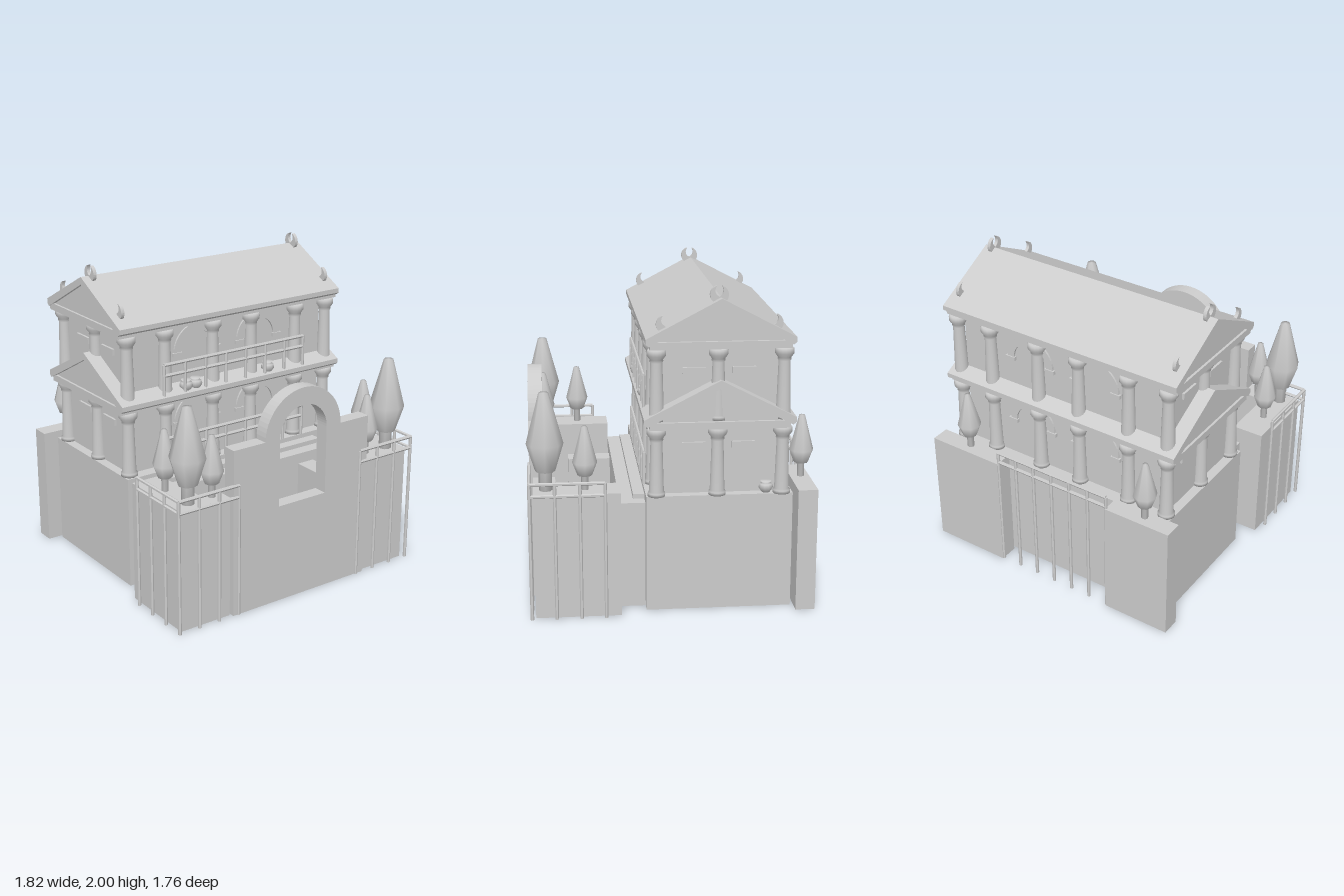
import * as THREE from 'three';

const mat = new THREE.MeshStandardMaterial({ color: 0xcccccc, side: THREE.DoubleSide });
const flat = new THREE.MeshStandardMaterial({ color: 0xcccccc, side: THREE.DoubleSide, flatShading: true });

export function createModel() {
  const root = new THREE.Group();

  const add = (name, geo, x = 0, y = 0, z = 0, m = mat) => {
    const mesh = new THREE.Mesh(geo, m);
    mesh.name = name;
    mesh.position.set(x, y, z);
    root.add(mesh);
    return mesh;
  };
  // Box given by its limits on each axis
  const box = (name, x0, x1, y0, y1, z0, z1) =>
    add(name, new THREE.BoxGeometry(x1 - x0, y1 - y0, z1 - z0), (x0 + x1) / 2, (y0 + y1) / 2, (z0 + z1) / 2);
  // The same box without its bottom face
  const openBox = (...args) => {
    const { geometry } = box(...args);
    const idx = Array.from(geometry.index.array);
    idx.splice(18, 6);
    geometry.setIndex(idx);
    geometry.clearGroups();
  };
  const lathe = (pts, n) => new THREE.LatheGeometry(pts.map(([r, y]) => new THREE.Vector2(r, y)), n);
  const shapeOf = pts => new THREE.Shape(pts.map(([a, b]) => new THREE.Vector2(a, b)));
  // Extrusion along x, centred; the shape's first axis runs along -z
  const alongX = (shape, length) => {
    const g = new THREE.ExtrudeGeometry(shape, { depth: length, bevelEnabled: false, curveSegments: 8 });
    g.translate(0, 0, -length / 2);
    return g.rotateY(Math.PI / 2);
  };
  const MID = -0.28; // z of the ridge

  // Podium, front terrace and step
  openBox('podium', -0.81, 0.81, 0, 0.73, -0.73, 0.16);
  openBox('terrace', -0.72, 0.74, 0, 0.67, 0.16, 0.315);
  box('terraceStep', -0.66, 0.66, 0.67, 0.7, 0.16, 0.23);

  // Forecourt
  box('path', -0.32, 0.35, 0, 0.05, 0.315, 0.77);
  box('courtBlock', -0.545, -0.42, 0, 0.6, 0.315, 0.6);
  box('courtBlock', 0.415, 0.54, 0, 0.6, 0.315, 0.6);
  for (const s of [-1, 1]) {
    const span = (a, b) => (s < 0 ? [-b, -a] : [a, b]);
    openBox('gardenBlock', ...span(0.67, 0.875), 0, 0.78, 0.315, 0.835);
    openBox('gardenBlockArm', ...span(0.52, 0.67), 0, 0.78, 0.7, 0.835);
  }
  box('rearBlock', -0.9, -0.45, 0, 0.77, -0.87, -0.75);
  box('rearBlock', 0.37, 0.89, 0, 0.77, -0.87, -0.75);

  // Arched gate wall
  const gate = shapeOf([[-0.51, 0], [0.525, 0], [0.525, 1.08], [0.3, 1.08]]);
  gate.absarc(0.01, 1.08, 0.29, 0, Math.PI, false);
  gate.lineTo(-0.51, 1.08);
  const opening = new THREE.Path();
  opening.moveTo(-0.17, 0.64);
  opening.lineTo(0.19, 0.64);
  opening.lineTo(0.19, 1.08);
  opening.absarc(0.01, 1.08, 0.18, 0, Math.PI, false);
  opening.closePath();
  gate.holes.push(opening);
  add('gateWall', new THREE.ExtrudeGeometry(gate, { depth: 0.09, bevelEnabled: false, curveSegments: 16 }), 0, 0, 0.768);

  // Hall of both storeys, with the columns half sunk into its walls
  box('hall', -0.75, 0.75, 0.73, 1.68, -0.645, 0.08);

  // Raised arches with imposts on the long walls
  const addArch = (r, x, y, z, turn) => {
    const s = new THREE.Shape();
    s.absarc(0, 0, r, 0, Math.PI, false);
    s.absarc(0, 0, r * 0.72, Math.PI, 0, true);
    const g = new THREE.ExtrudeGeometry(s, { depth: 0.012, bevelEnabled: false, curveSegments: 12 });
    add('wallArch', g, x, y, z).rotation.y = turn;
    for (const k of [-1, 1]) {
      const b = new THREE.BoxGeometry(r * 0.4, 0.025, 0.04);
      b.translate(k * r * 0.87, -0.0125, 0);
      add('impost', b, x, y, z).rotation.y = turn;
    }
  };
  for (const y of [1.0, 1.46]) {
    for (const x of [-0.24, 0.24]) {
      addArch(0.17, x, y, 0.08, 0);
      addArch(0.17, x, y, -0.645, Math.PI);
    }
    // String courses on the gable walls
    for (const s of [-1, 1])
      for (const z of [-0.13, -0.43])
        add('stringCourse', new THREE.BoxGeometry(0.03, 0.04, 0.14), s * 0.75, y + 0.03, z);
  }

  // Columns with base and capital
  const columnGeo = h => lathe([[0, 0], [0.053, 0], [0.053, 0.02], [0.045, 0.03], [0.036, h - 0.08],
    [0.042, h - 0.07], [0.04, h - 0.06], [0.058, h - 0.035], [0.058, h - 0.01], [0.05, h], [0, h]], 16);
  const colX = [-0.76, -0.485, -0.125, 0.175, 0.535, 0.787];
  for (const [y, h] of [[0.73, 0.42], [1.2, 0.43]]) {
    const geo = columnGeo(h);
    for (const x of colX) {
      add('column', geo, x, y, 0.097);
      add('column', geo, x, y, -0.663);
    }
    for (const x of [colX[0], colX[5]]) add('column', geo, x, y, -0.27);
  }

  // Entablature, pediment and gabled roof for each storey
  for (const [y, half] of [[1.15, 0.455], [1.635, 0.445]]) {
    box('entablature', -0.84, 0.845, y, y + 0.045, -0.7, 0.14);
    add('pediment', alongX(shapeOf([[-0.41, y + 0.04], [0.41, y + 0.04], [0, y + 0.26]]), 1.65), 0, 0, MID);
    add('roof', alongX(shapeOf([[-half, y + 0.035], [-half + 0.02, y + 0.02], [0, y + 0.25],
      [half - 0.02, y + 0.02], [half, y + 0.035], [half, y + 0.065], [0, y + 0.298], [-half, y + 0.065]]), 1.695), 0.002, 0, MID);
  }

  // Horn ornaments on ridge and eaves
  const horn = new THREE.Shape();
  horn.moveTo(0, 0);
  horn.quadraticCurveTo(0.055, 0, 0.055, 0.05);
  horn.quadraticCurveTo(0.05, 0.09, 0.015, 0.1);
  horn.quadraticCurveTo(0.04, 0.06, 0, 0.035);
  const hornGeo = alongX(horn, 0.022);
  for (const x of [-0.78, 0.79]) {
    for (const s of [-1, 1]) {
      add('ridgeHorn', hornGeo, x, 1.9, MID + 0.01).scale.z = s;
      add('eaveHorn', hornGeo, x, 1.73, MID + 0.005 + s * 0.32).scale.z = -s;
    }
  }

  // Straight rod between two points
  const rod = (name, a, b, r = 0.011) => {
    const p = new THREE.Vector3(...a), q = new THREE.Vector3(...b), d = q.clone().sub(p);
    const m = add(name, new THREE.CylinderGeometry(r, r, d.length(), 6), 0, 0, 0, flat);
    m.position.copy(p).add(q).multiplyScalar(0.5);
    m.quaternion.setFromUnitVectors(new THREE.Vector3(0, 1, 0), d.normalize());
  };
  // Fence along a ground line: two rails and n spaced posts
  const fence = (name, [x0, z0], [x1, z1], y0, y1, gap, n) => {
    for (const y of [y1, y1 - gap]) rod(name + 'Rail', [x0, y, z0], [x1, y, z1]);
    for (let i = 0; i < n; i++) {
      const t = i / (n - 1), x = x0 + (x1 - x0) * t, z = z0 + (z1 - z0) * t;
      rod(name + 'Post', [x, y0, z], [x, y1, z]);
    }
  };
  fence('balcony', [-0.53, 0.155], [0.56, 0.155], 1.2, 1.42, 0.07, 8);
  fence('porch', [-0.53, 0.155], [0.56, 0.155], 0.73, 0.935, 0.07, 8);
  fence('rearFence', [-0.45, -0.855], [0.37, -0.855], 0, 0.85, 0.07, 7);
  for (const s of [-1, 1]) {
    fence('frontFence', [s * 0.9, 0.858], [s * 0.47, 0.858], 0, 0.855, 0.075, 4);
    fence('sideFence', [s * 0.9, 0.858], [s * 0.9, 0.41], 0, 0.855, 0.075, 4);
  }

  // Cypress trees
  const bigTree = lathe([[0, 0], [0.04, 0], [0.04, 0.12], [0.06, 0.12], [0.112, 0.29], [0.03, 0.6], [0, 0.6]], 8);
  const smallTree = lathe([[0, 0], [0.022, 0], [0.022, 0.09], [0.045, 0.09], [0.075, 0.17], [0.018, 0.39], [0, 0.39]], 8);
  for (const s of [-1, 1]) {
    add('tallTree', bigTree, s * 0.77, 0.78, 0.76);
    add('frontTree', smallTree, s * 0.6, 0.78, 0.76);
    add('sideTree', smallTree, s * 0.775, 0.78, 0.525);
  }
  add('rearTree', smallTree, -0.7, 0.78, -0.81);
  add('rearTree', smallTree, 0.63, 0.78, -0.81);

  // Pots
  const pot = lathe([[0, 0], [0.025, 0], [0.045, 0.03], [0.038, 0.052], [0.024, 0.058], [0.034, 0.07], [0, 0.07]], 10);
  for (const [x, y, z] of [[-0.35, 1.22, 0.13], [-0.28, 1.22, 0.13], [0.29, 1.22, 0.13], [0.77, 0.73, -0.57],
    [0.36, 0.05, 0.58], [-0.37, 0, 0.715], [-0.3, 0.05, 0.75]]) add('pot', pot, x, y, z);

  return root;
}
